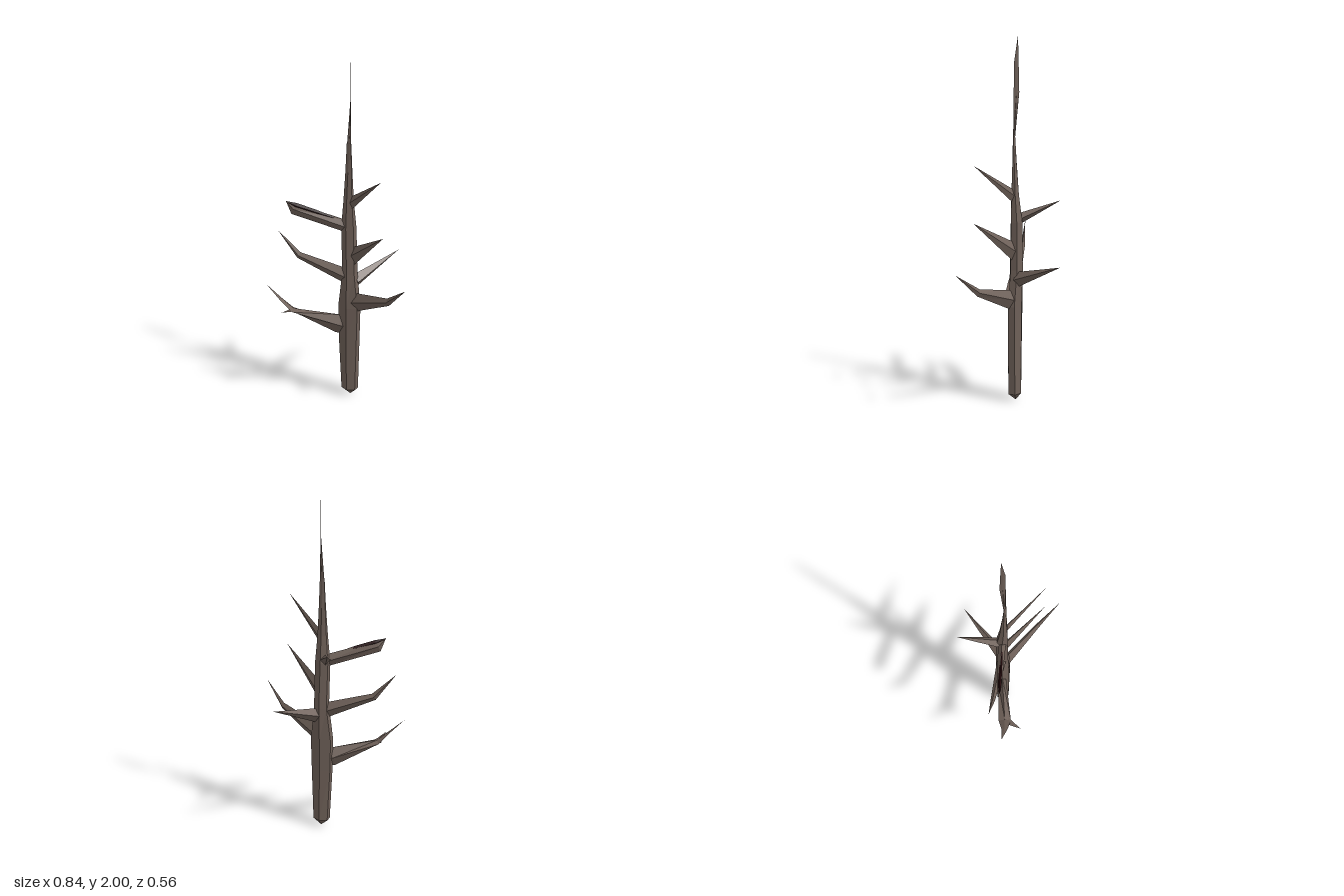
import * as THREE from 'three';

const bark = new THREE.MeshStandardMaterial({ color: 0x6e6058, flatShading: true, side: THREE.DoubleSide });
bark.name = 'bark';
const rot = new THREE.MeshStandardMaterial({ color: 0x260c0e, flatShading: true, side: THREE.DoubleSide });
rot.name = 'darkRot';

// Skin a list of equal-sized rings (arrays of Vector3) and cap both ends.
function loft(name, rings, material = bark) {
  const n = rings[0].length, pos = [];
  const tri = (...pts) => pts.forEach((p) => pos.push(p.x, p.y, p.z));
  for (let i = 0; i < rings.length - 1; i++) {
    for (let j = 0; j < n; j++) {
      const k = (j + 1) % n, a = rings[i], b = rings[i + 1];
      tri(a[j], a[k], b[k]);
      tri(a[j], b[k], b[j]);
    }
  }
  const first = rings[0], last = rings[rings.length - 1];
  for (let j = 1; j < n - 1; j++) {
    tri(first[0], first[j + 1], first[j]);
    tri(last[0], last[j], last[j + 1]);
  }
  const g = new THREE.BufferGeometry();
  g.setAttribute('position', new THREE.Float32BufferAttribute(pos, 3));
  g.computeVertexNormals();
  const mesh = new THREE.Mesh(g, material);
  mesh.name = name;
  return mesh;
}

// Horizontal six-sided trunk section: y, centre x, centre z, half width, half depth.
function trunkRing([y, cx, cz, rx, rz]) {
  return Array.from({ length: 6 }, (_, j) => {
    const a = -(j + 0.5) * Math.PI / 3;
    return new THREE.Vector3(cx + Math.cos(a) * rx * 1.15, y, cz + Math.sin(a) * rz);
  });
}

// Thin blade section: y, centre x, centre z, half width, heading of its width.
function bladeRing([y, x, z, r, heading]) {
  const c = Math.cos(heading) * r, s = Math.sin(heading) * r;
  return [[c, s], [s * 0.1, -c * 0.1], [-c, -s], [-s * 0.1, c * 0.1]]
    .map(([dx, dz]) => new THREE.Vector3(x + dx, y, z + dz));
}

// Diamond-section branch: stations of x, y, z, half width, half height.
function branch(name, stations, material) {
  const pts = stations.map(([x, y, z]) => new THREE.Vector3(x, y, z));
  const rings = stations.map(([, , , w, h], i) => {
    const d = pts[Math.min(i + 1, pts.length - 1)].clone().sub(pts[Math.max(i - 1, 0)]).normalize();
    const side = d.clone().cross(new THREE.Vector3(0, 1, 0)).normalize();
    const up = side.clone().cross(d);
    return [[1, 0], [0, 1], [-1, 0], [0, -1]].map(([s, u]) =>
      pts[i].clone().addScaledVector(side, s * w).addScaledVector(up, u * h));
  });
  return loft(name, rings, material);
}

export function createModel() {
  const tree = new THREE.Group();
  tree.name = 'deadTree';

  // Trunk with a pointed foot
  tree.add(loft('trunk', [
    [0, 0.003, 0.03, 0, 0],
    [0.04, 0.003, 0.035, 0.043, 0.038],
    [0.36, 0, 0.035, 0.056, 0.038],
    [0.54, 0, 0.033, 0.06, 0.038],
    [0.74, 0, 0.026, 0.037, 0.038],
    [1.0, -0.006, 0.027, 0.038, 0.034],
    [1.15, -0.003, 0.034, 0.026, 0.022],
    [1.32, 0, 0.036, 0.018, 0.011],
    [1.47, 0.002, 0.038, 0.013, 0.002],
  ].map(trunkRing)));

  // Flattened treetop that twists as it rises
  tree.add(loft('treetop', [
    [1.45, 0.002, 0.038, 0.013, 0],
    [1.7, 0.004, 0.023, 0.015, 1.05],
    [1.86, 0.005, 0.023, 0.012, 1.05],
    [2, 0.002, 0.015, 0, 1.05],
  ].map(bladeRing)));

  // Branches on the right
  tree.add(branch('lowerRightBranch', [
    [-0.01, 0.42, 0.035, 0.02, 0.05], [-0.055, 0.433, 0.055, 0.024, 0.056],
    [-0.28, 0.515, 0.175, 0.035, 0.01], [-0.34, 0.575, 0.2, 0.018, 0.004], [-0.42, 0.655, 0.22, 0, 0]]));
  tree.add(branch('lowerRightTwig', [
    [-0.275, 0.514, 0.17, 0.028, 0.004], [-0.28, 0.52, 0.21, 0.015, 0.002], [-0.29, 0.535, 0.28, 0, 0]]));
  tree.add(branch('middleRightBranch', [
    [-0.01, 0.715, 0.03, 0.026, 0.045], [-0.28, 0.815, 0.1, 0.012, 0.02], [-0.395, 0.95, 0.13, 0, 0]]));
  tree.add(branch('brokenRightBranch', [
    [-0.01, 1.005, 0.03, 0.022, 0.034], [-0.285, 1.095, 0.14, 0.011, 0.032], [-0.32, 1.14, 0.16, 0, 0]]));

  // Dark rotten split along the top of the broken branch
  tree.add(branch('rottenSplit', [
    [-0.08, 1.054, 0.06, 0.004, 0.004], [-0.17, 1.083, 0.096, 0.008, 0.012],
    [-0.27, 1.115, 0.136, 0.009, 0.014], [-0.312, 1.133, 0.155, 0.003, 0.004]], rot));

  // Branches on the left
  tree.add(branch('lowerLeftBranch', [
    [0.02, 0.57, 0.03, 0.028, 0.055], [0.285, 0.66, 0.125, 0.012, 0.02], [0.42, 0.775, 0.195, 0, 0]]));
  tree.add(branch('middleLeftBranch', [[0.01, 0.835, 0.025, 0.02, 0.048], [0.27, 1.025, 0.16, 0, 0]]));
  tree.add(branch('upperLeftBranch', [[0, 1.135, 0.03, 0.013, 0.033], [0.255, 1.325, 0.16, 0, 0]]));

  // Branches at the back
  tree.add(branch('backLeftBranch', [[0.022, 0.69, 0.01, 0.032, 0.04], [0.145, 0.8, -0.28, 0, 0]]));
  tree.add(branch('backRightBranch', [[-0.022, 1.015, 0.025, 0.03, 0.03], [-0.125, 1.115, -0.185, 0, 0]]));

  return tree;
}
